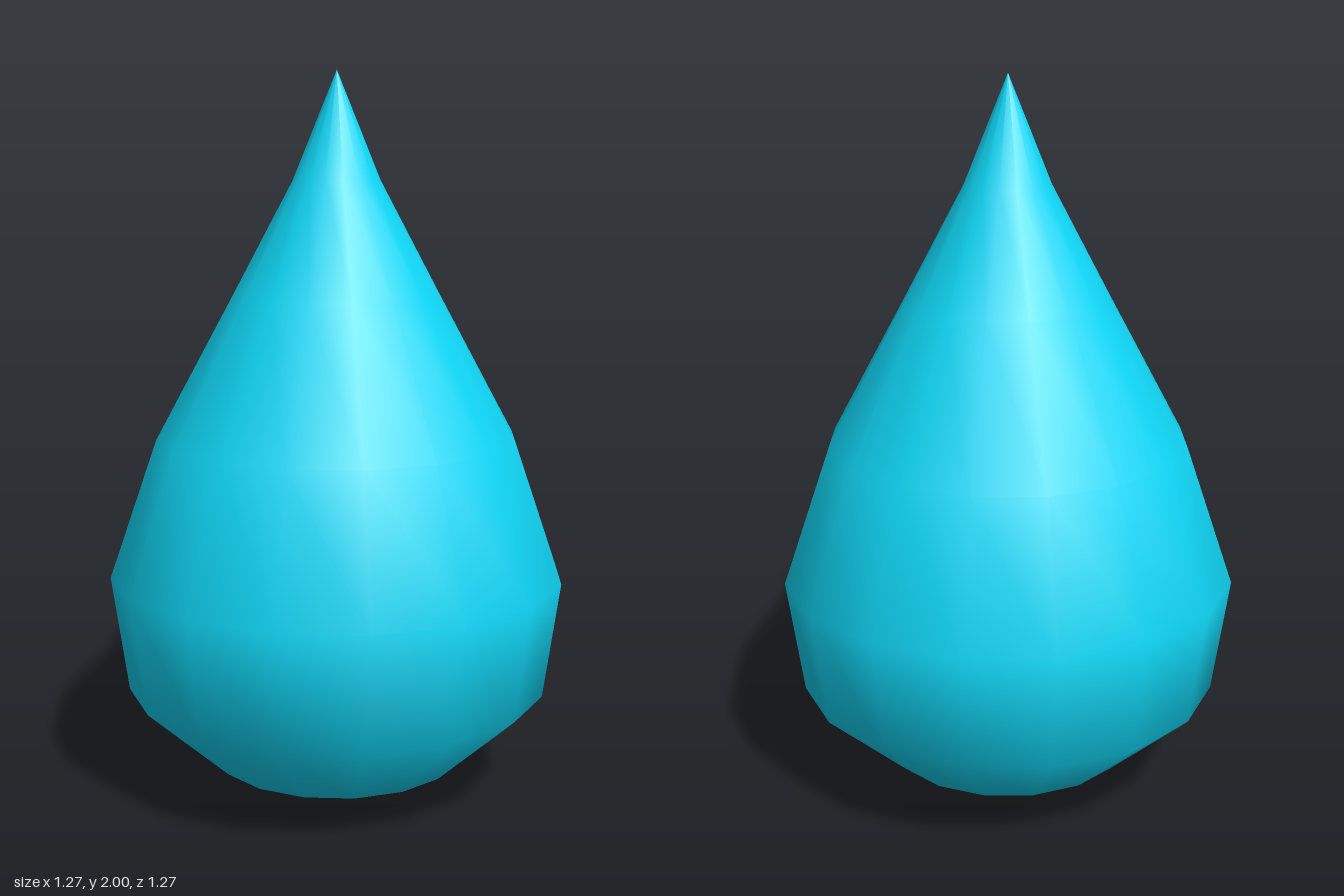
import * as THREE from 'three';

export function createModel() {
  const group = new THREE.Group();
  group.name = 'waterDrop';

  // Drop outline from the bottom pole to the tip: [radius, height]
  const profile = [
    [0, 0], [0.348, 0.08], [0.587, 0.296], [0.633, 0.62],
    [0.5, 1.005], [0.285, 1.4], [0.12, 1.708], [0, 2],
  ].map(([r, y]) => new THREE.Vector2(r, y));

  // Smooth-shaded body turned in 16 sides
  const body = new THREE.Mesh(
    new THREE.LatheGeometry(profile, 16),
    new THREE.MeshStandardMaterial({ color: 0x10d8f8 })
  );
  body.name = 'dropBody';
  group.add(body);

  return group;
}
